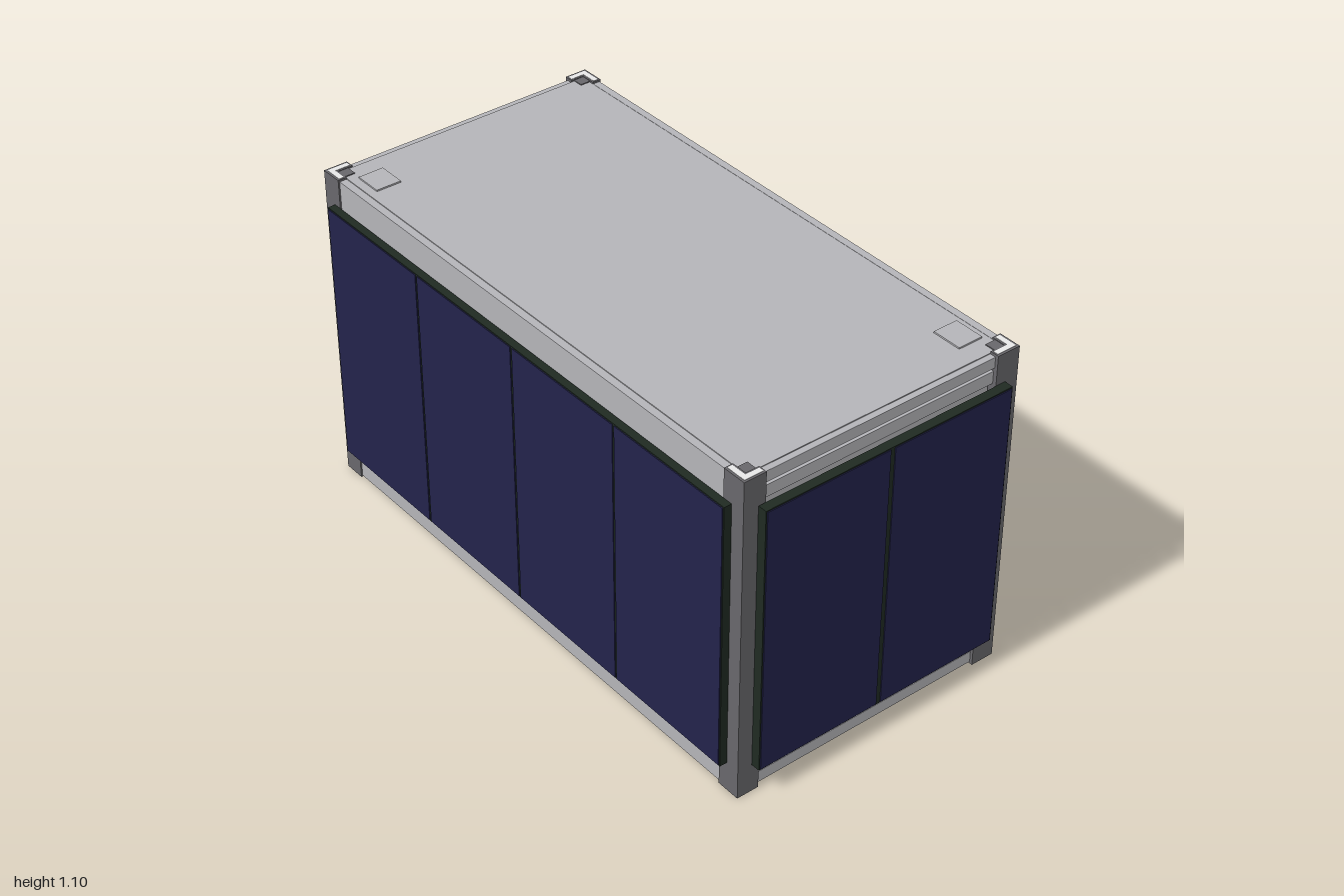
import * as THREE from 'three';

const mat = (name, color) => {
  const m = new THREE.MeshStandardMaterial({ color });
  m.name = name;
  return m;
};

export function createModel() {
  const aluminium = mat('light aluminium', 0xb4b4b8);
  const railGrey = mat('rail grey', 0x68676b);
  const capWhite = mat('cap white', 0xeeeeee);
  const board = mat('dark green board', 0x1f2a22);
  const cellBlue = mat('solar cell blue', 0x23234b);
  const gold = mat('gold', 0xc49b40);
  const beige = mat('beige', 0xb8b09a);

  const root = new THREE.Group();
  root.name = 'boxSatellite';
  const H = 1.097, CZ = 0.015; // body height and its centre in z

  const add = (name, geometry, material, parent = root) => {
    const m = new THREE.Mesh(geometry, material);
    m.name = name;
    parent.add(m);
    return m;
  };
  // Box given by its minimum and maximum corners
  const box = (name, material, x0, x1, y0, y1, z0, z1, parent = root) => {
    const m = add(name, new THREE.BoxGeometry(x1 - x0, y1 - y0, z1 - z0), material, parent);
    m.position.set((x0 + x1) / 2, (y0 + y1) / 2, (z0 + z1) / 2);
    return m;
  };

  // Body: core with recessed ends, overhanging top and bottom plates, long side walls
  box('core', aluminium, -0.93, 0.93, 0.03, 1.07, CZ - 0.455, CZ + 0.455);
  box('topPlate', aluminium, -0.955, 0.955, 1.052, 1.088, CZ - 0.475, CZ + 0.475);
  box('bottomPlate', aluminium, -0.955, 0.955, 0.006, 0.045, CZ - 0.475, CZ + 0.475);
  box('topInset', aluminium, -0.935, 0.935, 1.086, 1.091, CZ - 0.453, CZ + 0.453);
  for (const s of [-1, 1]) {
    const z = CZ + s * 0.467;
    box('sideWall', aluminium, -0.9, 0.9, 0.004, 1.09, z - 0.012, z + 0.012);
    // Frame lips on the recessed ends
    for (const y of [0.056, 1.0]) {
      box('endLip', aluminium, s * 0.94 - 0.012, s * 0.94 + 0.012, y, y + 0.04, CZ - 0.41, CZ + 0.41);
    }
  }

  // Corner rails: L sections with a pale strip on top and a small inner foot
  const angle = (a, b, t, o) => new THREE.Shape([
    [o, o], [a, o], [a, t], [t, t], [t, b], [o, b],
  ].map(([x, y]) => new THREE.Vector2(x, y)));
  const extrude = (shape, depth) => {
    const g = new THREE.ExtrudeGeometry(shape, { depth, bevelEnabled: false });
    return g.rotateX(-Math.PI / 2); // extrude upwards
  };
  const railShape = angle(0.075, 0.08, 0.03, 0);
  const capShape = angle(0.07, 0.075, 0.024, 0.007);
  // [x sign, z sign, turn about y]; corners with swapped arms keep near equal lengths
  const corners = [[-1, 1, 0], [1, 1, Math.PI / 2], [1, -1, Math.PI], [-1, -1, -Math.PI / 2]];
  for (const [sx, sz, turn] of corners) {
    const rail = new THREE.Group();
    rail.name = 'cornerRail';
    rail.position.set(sx * 0.965, 0, CZ + sz * 0.484);
    rail.rotation.y = turn;
    root.add(rail);
    add('railAngle', extrude(railShape, H - 0.001), railGrey, rail);
    add('railCap', extrude(capShape, 0.002), capWhite, rail).position.y = H - 0.002;
    box('railFoot', railGrey, 0.03, 0.065, 0, H - 0.003, -0.065, -0.03, rail);
  }

  // Solar panel facing +z: a board with thin cells standing on it
  function solarPanel(name, width, depth, count, gap) {
    const g = new THREE.Group();
    g.name = name;
    const w = width / 2, edge = 0.004, pitch = (width - 2 * edge + gap) / count;
    box('panelBoard', board, -w, w, 0.1, 1.0, 0, depth - 0.003, g);
    for (let i = 0; i < count; i++) {
      const x = -w + edge + i * pitch;
      box('solarCell', cellBlue, x, x + pitch - gap, 0.104, 0.996, depth - 0.004, depth, g);
    }
    root.add(g);
    return g;
  }
  solarPanel('frontPanel', 1.836, 0.028, 4, 0.008).position.z = 0.499;
  const back = solarPanel('backPanel', 1.836, 0.031, 4, 0.008);
  back.position.z = -0.469;
  back.rotation.y = Math.PI;
  for (const s of [-1, 1]) {
    const end = solarPanel('endPanel', 0.872, 0.033, 2, 0.016);
    end.position.set(s * 0.967, 0, CZ);
    end.rotation.y = s * Math.PI / 2;
  }

  // Patch antenna on the back
  box('patchAntenna', gold, 0.39, 0.77, 0.39, 0.775, -0.529, -0.499);

  // Small square pads on the top
  box('topPad', aluminium, 0.77, 0.87, 1.09, 1.096, -0.42, -0.335);
  box('topPad', aluminium, -0.87, -0.775, 1.09, 1.096, 0.355, 0.44);

  // Underside: beige square plate and a round port
  box('bottomPatch', beige, -0.85, -0.33, 0.002, 0.008, -0.335, 0.155);
  const port = add('bottomPort', new THREE.TorusGeometry(0.032, 0.004, 8, 32), aluminium);
  port.rotation.x = Math.PI / 2;
  port.position.set(0, 0.006, CZ);

  return root;
}
